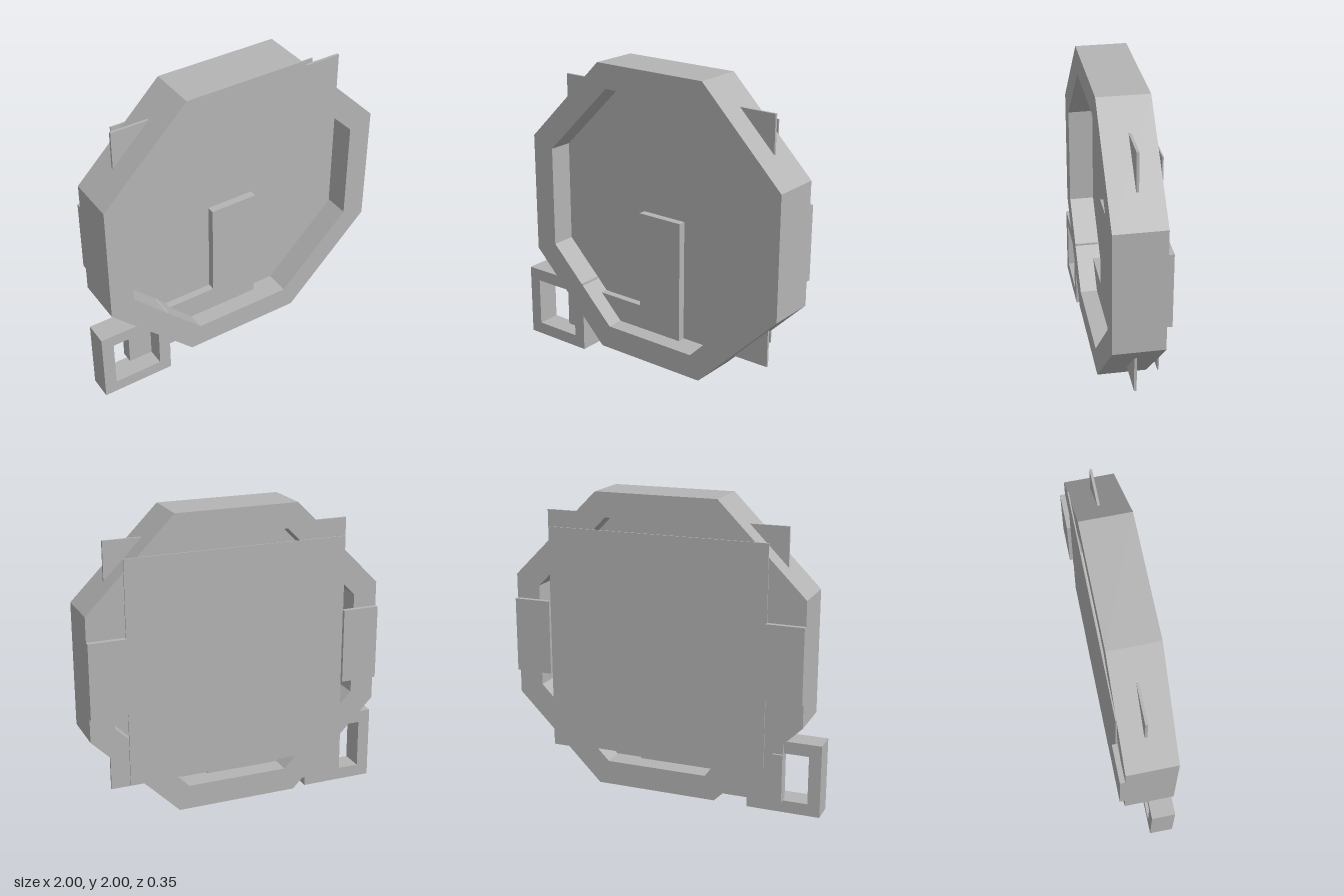
import * as THREE from 'three';

export function createModel() {
  const model = new THREE.Group();
  const grey = new THREE.MeshStandardMaterial({ color: 0xb4b4b4 });
  grey.name = 'grey';

  const add = (name, geometry) => {
    const mesh = new THREE.Mesh(geometry, grey);
    mesh.name = name;
    model.add(mesh);
  };

  // Extrudes an outline, with an optional hole, between two depths
  const slab = (name, outline, hole, z0, z1) => {
    const toPoints = (list) => list.map(([x, y]) => new THREE.Vector2(x, y));
    const shape = new THREE.Shape(toPoints(outline));
    if (hole) shape.holes.push(new THREE.Path(toPoints(hole)));
    const geometry = new THREE.ExtrudeGeometry(shape, { depth: z1 - z0, bevelEnabled: false });
    add(name, geometry.translate(0, 0, z0));
  };

  const rect = (x0, x1, y0, y1) => [[x0, y0], [x1, y0], [x1, y1], [x0, y1]];

  // Octagon around the body's centre: half size r, half flat side s
  const cx = 0.04, cy = 1.043;
  const octagon = (r, s) =>
    [[s, -r], [r, -s], [r, s], [s, r], [-s, r], [-r, s], [-r, -s], [-s, -r]]
      .map(([x, y]) => [cx + x, cy + y]);

  // Octagonal housing ring
  slab('housingRing', octagon(0.957, 0.396), octagon(0.8, 0.331), -0.142, 0.175);

  // Thin square dial whose corners pass through the ring
  slab('dialPlate', rect(-0.76, 0.837, 0.245, 1.842), null, -0.002, 0.014);

  // L-shaped arm running through the dial into the small frame
  slab('lShapedArm', [[-0.76, 0.085], [0.198, 0.085], [0.198, 1.043],
    [-0.121, 1.043], [-0.121, 0.404], [-0.76, 0.404]], null, -0.017, 0.063);

  // Small square frame at the lower corner
  slab('cornerFrame', rect(-1, -0.521, 0.005, 0.484), rect(-0.92, -0.6, 0.085, 0.404), 0.022, 0.175);

  // Back cover sheet and its two side clips
  slab('backCover', rect(-0.68, 0.757, 0.325, 1.763), null, -0.152, -0.144);
  for (const side of [-1, 1]) {
    const inner = cx + side * 0.718, outer = cx + side * 0.957;
    slab('backClip', rect(Math.min(inner, outer), Math.max(inner, outer), 0.803, 1.283),
      null, -0.174, -0.142);
  }

  return model;
}
